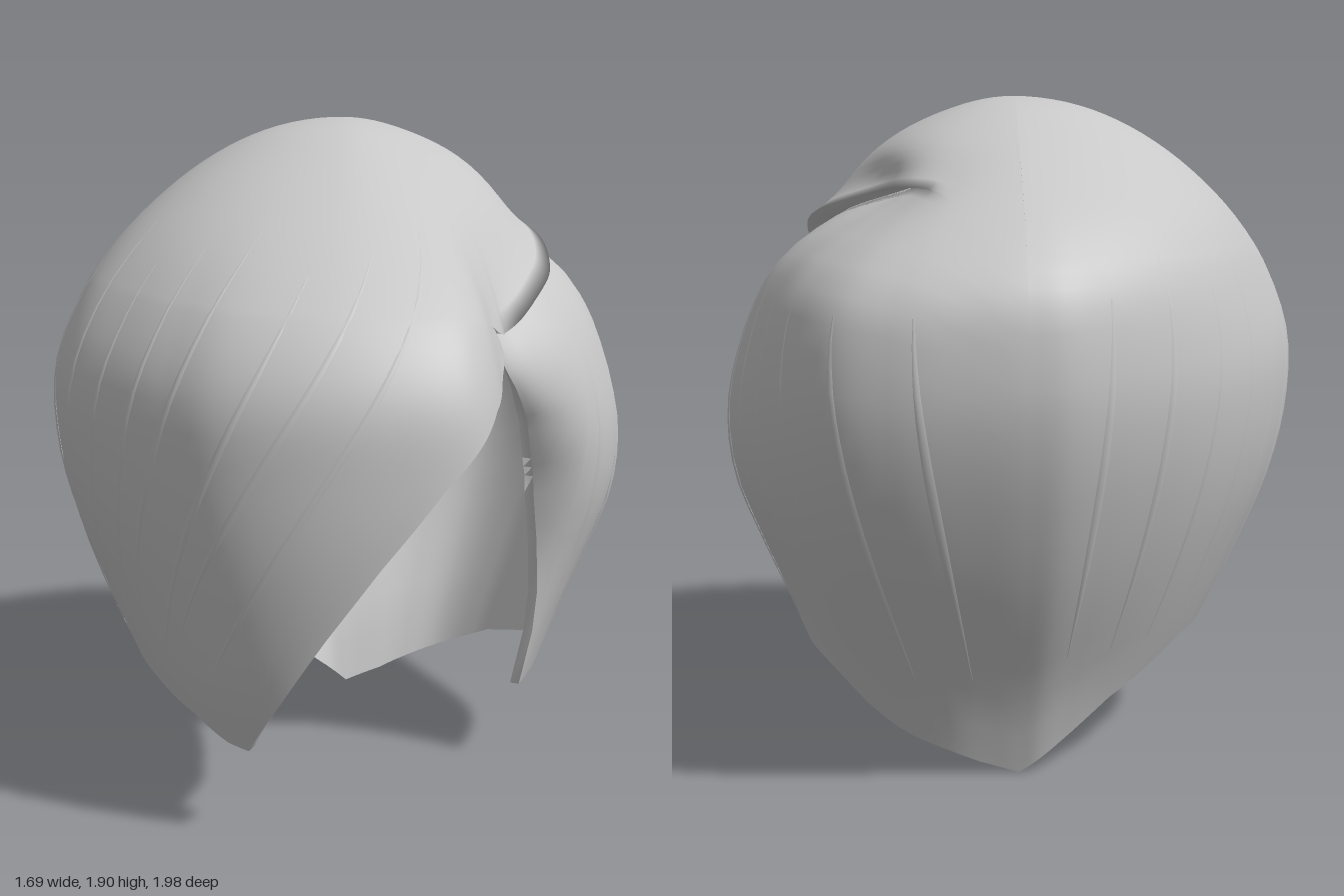
import * as THREE from 'three';
import { mergeVertices } from 'three/addons/utils/BufferGeometryUtils.js';

const TOP = 1.9;
const RAD = Math.PI / 180;
const clamp = (v, a, b) => Math.min(b, Math.max(a, v));
const smoothstep = (v, a, b) => { const k = clamp((v - a) / (b - a), 0, 1); return k * k * (3 - 2 * k); };
const bell = (v, mid, width) => Math.exp(-(((v - mid) / width) ** 2));

// Interpolate [x, value] knots; smooth uses Hermite tangents
function sample(knots, x, smooth = true) {
  const n = knots.length;
  if (x <= knots[0][0]) return knots[0][1];
  if (x >= knots[n - 1][0]) return knots[n - 1][1];
  let i = 0;
  while (knots[i + 1][0] < x) i++;
  const [x0, y0] = knots[i], [x1, y1] = knots[i + 1];
  const h = x1 - x0, t = (x - x0) / h;
  if (!smooth) return y0 + (y1 - y0) * t;
  const p = knots[Math.max(0, i - 1)], q = knots[Math.min(n - 1, i + 2)];
  const m0 = (y1 - p[1]) / (x1 - p[0]) * h, m1 = (q[1] - y0) / (q[0] - x0) * h;
  const t2 = t * t, t3 = t2 * t;
  return (2 * t3 - 3 * t2 + 1) * y0 + (t3 - 2 * t2 + t) * m0 + (3 * t2 - 2 * t3) * y1 + (t3 - t2) * m1;
}

// Widest outline by azimuth (0 = front, 90 = model's left)
const outline = [[-180, 0.985], [-174, 0.975], [-165, 0.93], [-155, 0.89], [-136, 0.84], [-120, 0.815],
  [-104, 0.82], [-90, 0.845], [-76, 0.855], [-63, 0.87], [-46, 0.88], [-30, 0.92], [-18, 0.97], [-6, 0.99],
  [10, 1.0], [20, 1.0], [25, 0.98], [30, 0.92], [37, 0.81], [45, 0.75], [55, 0.75], [67, 0.79], [75, 0.805],
  [90, 0.835], [103, 0.85], [115, 0.86], [124, 0.89], [137, 0.97], [150, 1.04], [160, 1.03], [171, 1.0], [180, 0.985]];

// Rounder outline used towards the crown
const crownOutline = [[-180, 0.97], [-90, 0.845], [0, 0.99], [45, 0.87], [90, 0.835], [135, 0.9], [180, 0.97]];

// Relative radius by height for each quarter, from the crown down
const heights = [1.9, 1.87, 1.8, 1.7, 1.55, 1.4, 1.2, 1.0, 0.8, 0.6, 0.4, 0.24, 0];
const profile = (values) => heights.map((y, i) => [Math.sqrt(TOP - y), values[i]]);
const front = profile([0, 0.2, 0.36, 0.54, 0.75, 0.89, 0.975, 0.99, 0.985, 0.96, 0.92, 0.86, 0.8]);
const back = profile([0, 0.19, 0.34, 0.52, 0.79, 0.95, 1, 0.97, 0.9, 0.81, 0.7, 0.61, 0.52]);
const rightSide = profile([0, 0.24, 0.43, 0.6, 0.78, 0.9, 0.985, 0.985, 0.935, 0.84, 0.73, 0.63, 0.5]);
const leftSide = profile([0, 0.2, 0.39, 0.55, 0.7, 0.85, 0.95, 1, 0.98, 0.89, 0.79, 0.72, 0.62]);

// Lower edge: fringe sweep, face opening, side panel, pointed nape
const hem = [[-180, 0], [-165, 0.1], [-150, 0.2], [-120, 0.33], [-90, 0.35], [-60, 0.36], [-45, 0.34], [-30, 0.3],
  [-20, 0.25], [-15, 0.24], [-8, 0.4], [0, 0.6], [8.5, 0.8], [18, 1.0], [29, 1.18], [42, 1.29], [49, 1.18], [55, 1.07],
  [61, 0.9], [65, 0.7], [67.5, 0.5], [69, 0.24], [90, 0.28], [105, 0.29], [130, 0.22], [151, 0.12], [168, 0.04], [180, 0]];

// Azimuth of the side panel's front edge by height
const panelEdge = [[0.24, 69], [0.5, 67.5], [0.7, 65], [0.9, 61], [1.07, 55], [1.29, 42]];

// Height of the side parting
const parting = [[-180, 1.5], [20, 1.42], [36, 1.37], [43, 1.34], [63, 1.45], [80, 1.53], [98, 1.59], [120, 1.64],
  [150, 1.66], [165, 1.62], [180, 1.5]];

const hemY = (a) => sample(hem, a, false);

// Point on the hair surface; lift moves it outward
function hairPoint(a, y, lift = 0, above = y > sample(parting, a)) {
  const q = Math.sqrt(Math.max(0, TOP - y));
  const s = Math.sin(a * RAD), c = Math.cos(a * RAD);
  const rel = c * c * sample(c > 0 ? front : back, q) + s * s * sample(s > 0 ? leftSide : rightSide, q);
  const round = smoothstep(y, 1.35, 1.75);
  const wide = sample(outline, a) * (1 - round) + sample(crownOutline, a) * round;
  // overlap ledge where the fringe lies over the side panel
  const fade = smoothstep(a, 36, 50) * (1 - smoothstep(a, 140, 162));
  const d = Math.abs(y - sample(parting, a));
  const ledge = above ? 0.025 * Math.exp(-d / 0.06) : -0.06 * Math.exp(-d / 0.09);
  // hollow where the parting meets the crown
  const hollow = 0.12 * bell(a, 122, 28) * bell(y, 1.64, 0.09);
  // front edge of the side panel turns inward
  const past = a - sample(panelEdge, y, false);
  const tuck = a > 42 && past > -1 ? 0.12 * bell(y, 0.85, 0.33) * Math.exp(-Math.max(0, past) / 6) : 0;
  const r = Math.max(0, wide * rel + fade * ledge - hollow - tuck + lift);
  return [r * s, y, r * c - 0.1 * smoothstep(y, 1.2, 1.8)];
}

// Grid surface from a rule (column, row) -> point
function grid(cols, rows, rule) {
  const pos = [], index = [];
  for (let i = 0; i <= cols; i++) for (let j = 0; j <= rows; j++) pos.push(...rule(i, j));
  for (let i = 0; i < cols; i++) for (let j = 0; j < rows; j++) {
    const a = i * (rows + 1) + j, b = a + rows + 1;
    index.push(a, b, b + 1, a, b + 1, a + 1);
  }
  let g = new THREE.BufferGeometry();
  g.setAttribute('position', new THREE.Float32BufferAttribute(pos, 3));
  g.setIndex(index);
  g = mergeVertices(g, 1e-5);
  g.computeVertexNormals();
  return g;
}

export function createModel() {
  const group = new THREE.Group();
  const hair = new THREE.MeshStandardMaterial({ color: 0xc8c8c8, side: THREE.DoubleSide });
  hair.name = 'hairGrey';
  const add = (name, geometry) => {
    const mesh = new THREE.Mesh(geometry, hair);
    mesh.name = name;
    group.add(mesh);
  };

  // Main shell, with a doubled row at the parting
  const LOW = 18, HIGH = 20;
  add('hairShell', grid(360, LOW + HIGH + 1, (i, j) => {
    const a = i - 180, y0 = hemY(a), yp = Math.max(sample(parting, a), y0 + 0.02);
    if (j <= LOW) return hairPoint(a, y0 + (yp - y0) * (1 - (1 - j / LOW) ** 1.4), 0, false);
    const t = (j - LOW - 1) / HIGH;
    return hairPoint(a, TOP - (TOP - yp) * (1 - t) ** 2, 0, true);
  }));

  // Inner linings give the fringe and side panel a thick, turned edge
  const lining = (name, a0, a1, depth) => add(name, grid(Math.round(a1 - a0), 8, (i, j) => {
    const a = a0 + i, y0 = hemY(a), t = j / 8;
    const ends = clamp((a - a0) / 8, 0, 1) * clamp((a1 - a) / 8, 0, 1);
    const y = y0 + (1.34 - y0) * Math.max(0, (j - 1) / 7);
    const inset = j === 0 ? 0 : depth * (1 - 0.7 * t) * ends;
    return hairPoint(a, y, -inset, false);
  }));
  lining('fringeLining', -62, 42, 0.055);
  lining('sidePanelLining', 44, 88, 0.03);

  // Fine raised locks following the flow, from top to bottom
  const lock = (a0, y0, a1, y1, width) => add('hairLock', grid(2, 16, (i, j) => {
    const t = j / 16, a = a0 + (a1 - a0) * t;
    const y = Math.max(y0 + (y1 - y0) * t, hemY(a));
    const taper = Math.sin(Math.PI * (0.06 + 0.88 * t));
    return hairPoint(a + (i - 1) * width * taper, y, 0.001 + (i === 1 ? 0.006 : 0.001) * taper);
  }));
  for (let k = 0; k < 7; k++) lock(22 - k * 13, 1.62 - (k % 3) * 0.05, -22 - k * 7, 0.42 + (k % 2) * 0.1, 0.7);
  for (let k = 0; k < 8; k++) lock(-75 - k * 13, 1.5 - (k % 2) * 0.1, -78 - k * 13, 0.38, 0.8);
  for (let k = 0; k < 8; k++) lock(72 + k * 13, 1.36, 77 + k * 13, 0.32, 0.8);

  return group;
}
